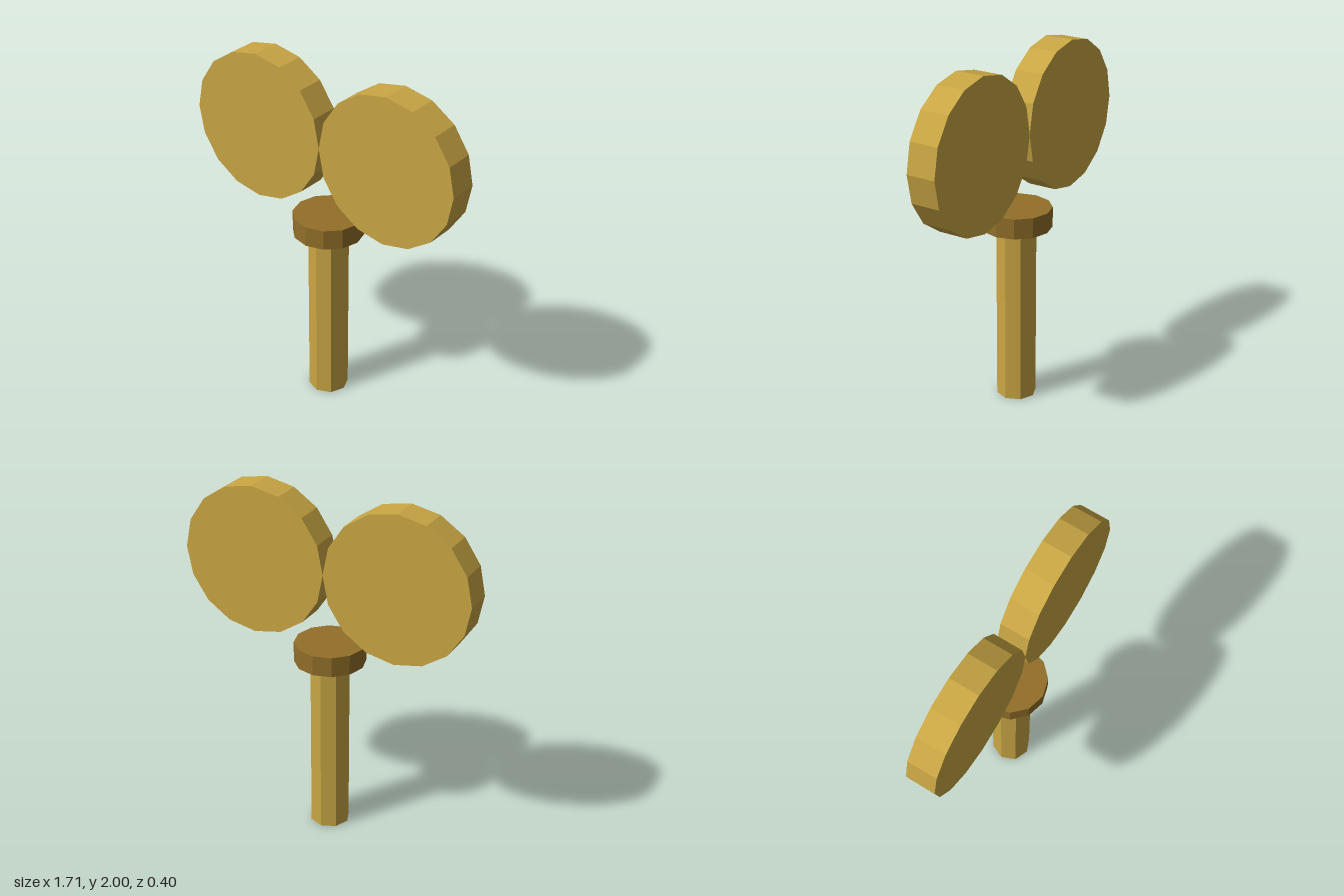
import * as THREE from 'three';

const gold = new THREE.MeshStandardMaterial({ color: 0xc9a644, flatShading: true });
const bronze = new THREE.MeshStandardMaterial({ color: 0x926f29, flatShading: true });

function prism(name, radius, height, sides, material) {
  const mesh = new THREE.Mesh(new THREE.CylinderGeometry(radius, radius, height, sides), material);
  mesh.name = name;
  return mesh;
}

export function createModel() {
  const model = new THREE.Group();
  model.name = 'doubleDiscKey';

  // Octagonal shaft standing on the ground
  const shaftHeight = 1.03;
  const shaft = prism('shaft', 0.113, shaftHeight, 8, gold);
  shaft.position.y = shaftHeight / 2;

  // Twelve-sided collar on top of the shaft
  const collarHeight = 0.115;
  const collar = prism('collar', 0.2, collarHeight, 12, bronze);
  collar.position.y = shaftHeight + collarHeight / 2;
  model.add(shaft, collar);

  // Two upright discs, touching each other at the middle
  const discRadius = 0.427;
  for (const side of [-1, 1]) {
    const disc = prism(side > 0 ? 'leftDisc' : 'rightDisc', discRadius, 0.17, 16, gold);
    disc.rotation.x = Math.PI / 2;
    disc.position.set(side * discRadius, 2 - discRadius, 0);
    model.add(disc);
  }
  return model;
}
